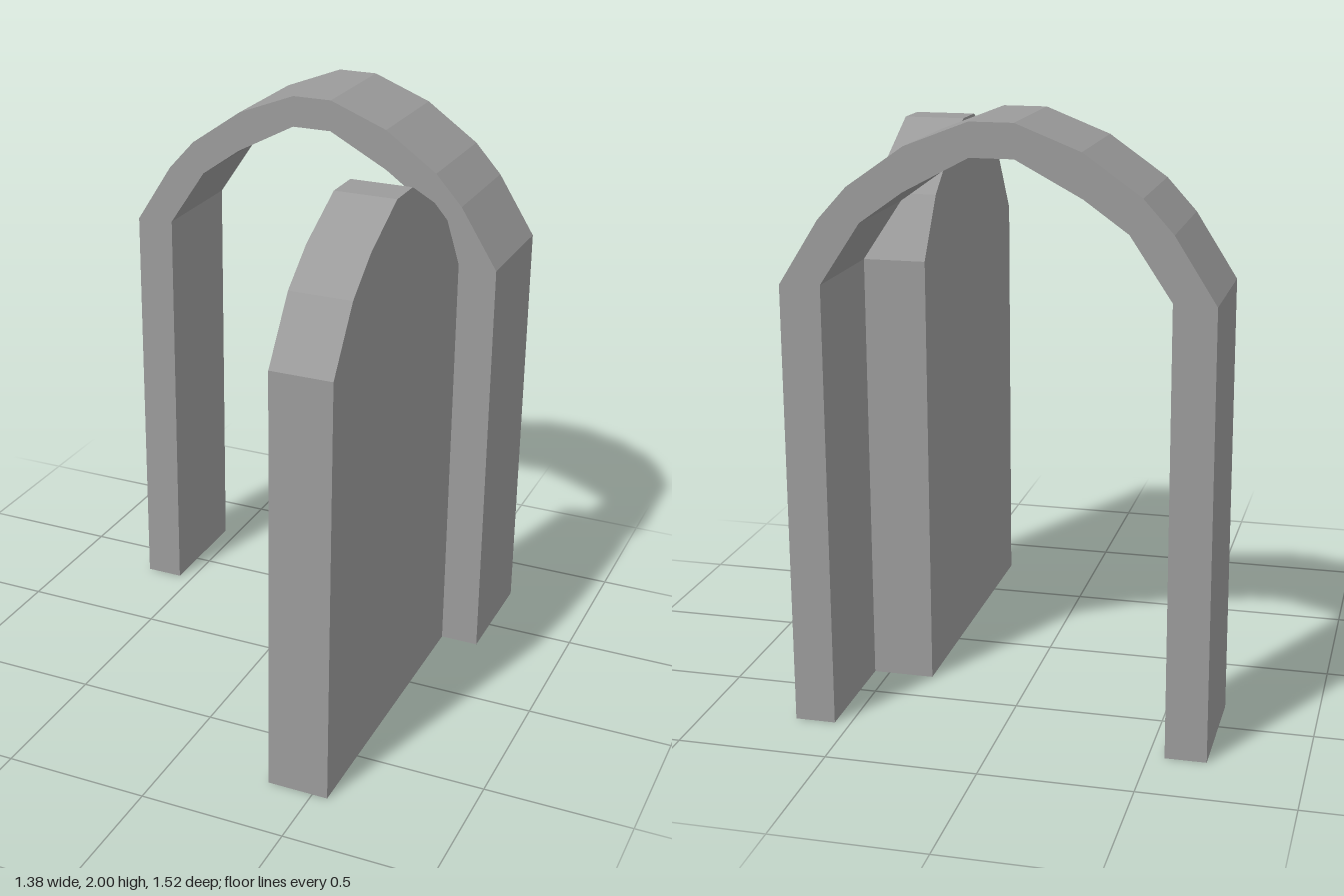
import * as THREE from 'three';

const material = new THREE.MeshStandardMaterial({ color: 0x9b9b9b, flatShading: true });

// Straight-edged outline pulled out to a given depth
function slab(name, points, depth) {
  const shape = new THREE.Shape(points.map(([x, y]) => new THREE.Vector2(x, y)));
  const geometry = new THREE.ExtrudeGeometry(shape, { depth, bevelEnabled: false });
  const mesh = new THREE.Mesh(geometry, material);
  mesh.name = name;
  return mesh;
}

// Mirrors the left half of a symmetric outline across x = 0
const mirrored = (half) => [...half, ...half.map(([x, y]) => [-x, y]).reverse()];

export function createModel() {
  const model = new THREE.Group();
  model.name = 'archedDoorway';

  // Door frame: two jambs joined by a faceted arch
  const outer = mirrored([[-0.688, 0], [-0.688, 1.475], [-0.555, 1.685], [-0.46, 1.79], [-0.275, 1.92], [-0.07, 2]]);
  const inner = mirrored([[-0.553, 0], [-0.553, 1.48], [-0.42, 1.68], [-0.28, 1.78], [-0.07, 1.892]]);
  const frame = slab('doorFrame', [...outer, ...inner.reverse()], 0.418);
  frame.position.z = -0.761;
  model.add(frame);

  // Open door leaf, swung forward at a right angle from the left jamb
  const leaf = slab('doorLeaf', [
    [-0.343, 0], [0.761, 0], [0.761, 1.475], [0.62, 1.68], [0.485, 1.785], [0.275, 1.892],
    [0.14, 1.892], [-0.07, 1.78], [-0.205, 1.68], [-0.343, 1.48],
  ], 0.21);
  leaf.geometry.rotateY(-Math.PI / 2);
  leaf.position.x = 0.553;
  model.add(leaf);

  return model;
}
